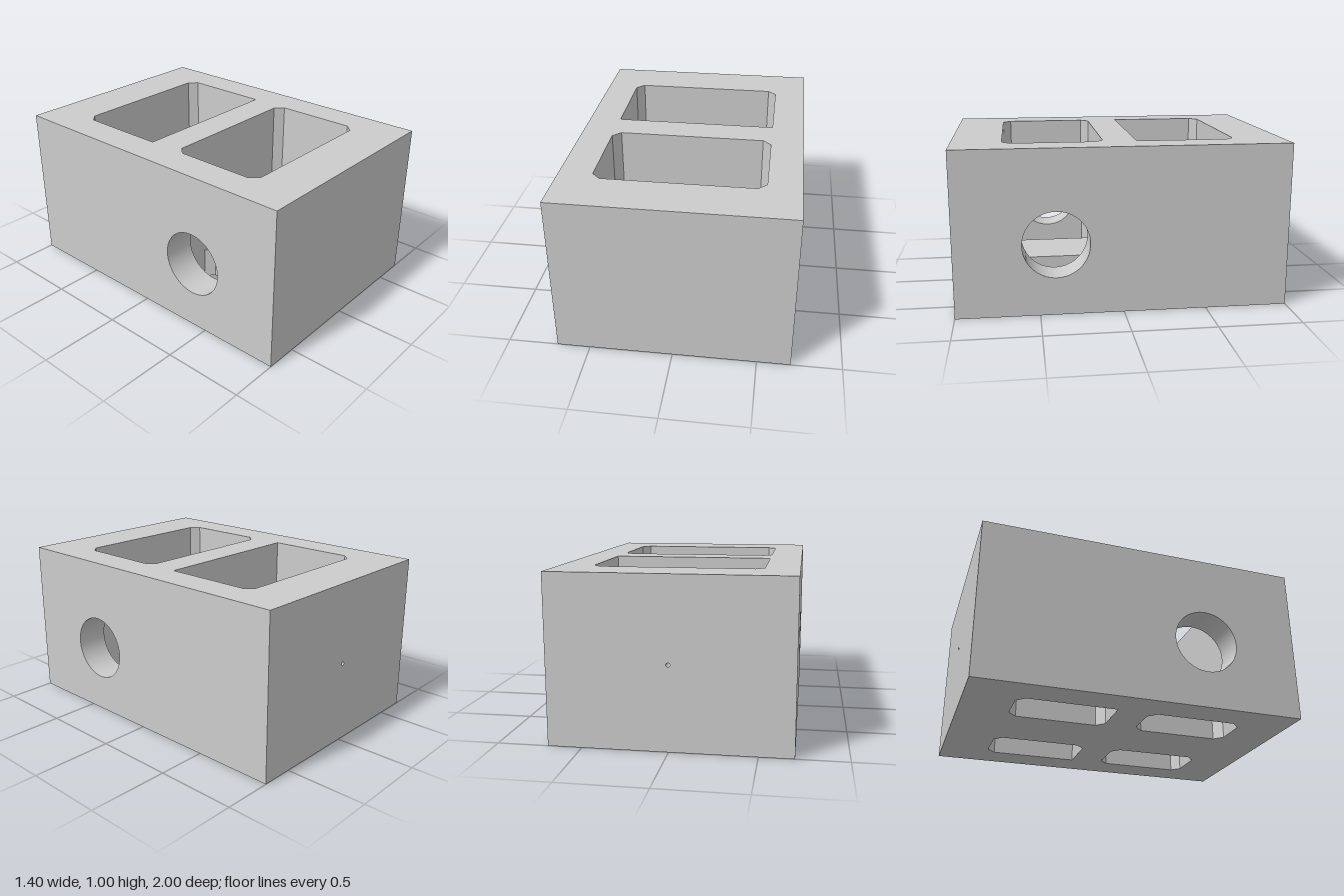
import * as THREE from 'three';

const W = 0.7, L = 1, H = 1;          // half width, half length, height
const FLOOR = 0.2, CUT = 0.05;        // floor thickness, corner chamfer
const BORE = { r: 0.2, y: 0.43, z: 0.4 };
const PIN = { r: 0.012, y: 0.5 };

const material = new THREE.MeshStandardMaterial({ color: 0xcccccc, side: THREE.DoubleSide });

// Rectangle in x, z with an optional chamfer per corner
function cutRect(x0, x1, z0, z1, [a, b, c, d]) {
  const points = [];
  const corner = (x, z, cut, first, second) => {
    if (!cut) points.push([x, z]);
    else points.push([x + first[0] * CUT, z + first[1] * CUT], [x + second[0] * CUT, z + second[1] * CUT]);
  };
  corner(x0, z0, a, [0, 1], [1, 0]);
  corner(x1, z0, b, [-1, 0], [0, 1]);
  corner(x1, z1, c, [0, -1], [-1, 0]);
  corner(x0, z1, d, [1, 0], [0, -1]);
  return points;
}

const toPath = (points, sign = 1) => new THREE.Path(points.map(([x, z]) => new THREE.Vector2(x, z * sign)));
const circle = (x, y, r) => new THREE.Path().absarc(x, y, r, 0, Math.PI * 2);
const rect = (x0, x1, y0, y1) => [[x0, y0], [x1, y0], [x1, y1], [x0, y1]];

export function createModel() {
  const block = new THREE.Group();
  block.name = 'hollowBlock';

  function add(name, geometry) {
    const mesh = new THREE.Mesh(geometry, material);
    mesh.name = name;
    block.add(mesh);
    return mesh;
  }

  // Flat face with holes, turned and placed
  function panel(name, points, holes, rotation, position) {
    const shape = new THREE.Shape(points.map(p => new THREE.Vector2(...p)));
    shape.holes.push(...holes);
    const mesh = add(name, new THREE.ShapeGeometry(shape, 32));
    mesh.rotation.set(...rotation);
    mesh.position.set(...position);
  }

  // Upright inward-facing walls along an outline; skip(p, q) leaves a side open
  function sleeve(name, points, y0, y1, skip = () => false) {
    const v = [];
    points.forEach((p, i) => {
      const q = points[(i + 1) % points.length];
      if (skip(p, q)) return;
      const a = [p[0], y0, p[1]], b = [q[0], y0, q[1]], c = [q[0], y1, q[1]], d = [p[0], y1, p[1]];
      v.push(...a, ...b, ...c, ...a, ...c, ...d);
    });
    const geometry = new THREE.BufferGeometry();
    geometry.setAttribute('position', new THREE.Float32BufferAttribute(v, 3));
    geometry.computeVertexNormals();
    add(name, geometry);
  }

  const backPocket = cutRect(-0.5, 0.5, -0.7, -0.1, [1, 1, 0, 0]);
  const frontPocket = cutRect(-0.5, 0.5, 0.1, 0.7, [1, 1, 1, 1]);
  const drains = [
    cutRect(-0.5, -0.21, -0.7, -0.1, [1, 1, 1, 0]),
    cutRect(0.19, 0.5, -0.7, -0.1, [1, 1, 0, 1]),
    cutRect(-0.5, -0.21, 0.1, 0.7, [1, 1, 1, 1]),
    cutRect(0.19, 0.5, 0.1, 0.7, [1, 1, 1, 1]),
  ];

  // Outer faces
  const plan = rect(-W, W, -L, L), end = rect(-W, W, 0, H), side = rect(-L, L, 0, H);
  panel('topFace', plan, [toPath(backPocket, -1), toPath(frontPocket, -1)], [-Math.PI / 2, 0, 0], [0, H, 0]);
  panel('bottomFace', plan, drains.map(d => toPath(d)), [Math.PI / 2, 0, 0], [0, 0, 0]);
  panel('frontFace', end, [], [0, 0, 0], [0, 0, L]);
  panel('backFace', end, [circle(0, PIN.y, PIN.r)], [0, Math.PI, 0], [0, 0, -L]);

  // Side faces, pierced pocket walls and the round bores between them
  for (const s of [-1, 1]) {
    panel('sideFace', side, [circle(-s * BORE.z, BORE.y, BORE.r)], [0, s * Math.PI / 2, 0], [s * W, 0, 0]);
    const u = [s * (0.1 + CUT), s * (0.7 - CUT)].sort((a, b) => a - b);
    panel('piercedPocketWall', rect(u[0], u[1], FLOOR, H), [circle(s * BORE.z, BORE.y, BORE.r)],
      [0, -s * Math.PI / 2, 0], [s * 0.5, 0, 0]);
    const bore = add('sideBore', new THREE.CylinderGeometry(BORE.r, BORE.r, W - 0.5, 64, 1, true));
    bore.rotation.z = Math.PI / 2;
    bore.position.set(s * 0.6, BORE.y, BORE.z);
  }

  // Pinhole through the back wall
  panel('backPocketWall', rect(-0.5 + CUT, 0.5 - CUT, FLOOR, H), [circle(0, PIN.y, PIN.r)], [0, 0, 0], [0, 0, -0.7]);
  const pinhole = add('pinhole', new THREE.CylinderGeometry(PIN.r, PIN.r, L - 0.7, 24, 1, true));
  pinhole.rotation.x = Math.PI / 2;
  pinhole.position.set(0, PIN.y, -0.85);

  // Remaining pocket walls and the floor openings
  sleeve('frontPocketWalls', frontPocket, FLOOR, H, (p, q) => p[0] === q[0]);
  sleeve('backPocketWalls', backPocket, FLOOR, H, (p, q) => p[1] === -0.7 && q[1] === -0.7);
  drains.forEach(d => sleeve('floorOpening', d, 0, FLOOR));

  // Floor strip between each pair of openings
  for (const [z0, z1] of [[-0.7, -0.1], [0.1, 0.7]]) {
    const l = -0.21, r = 0.19;
    const outline = [[l - CUT, z0], [r + CUT, z0], [r, z0 + CUT], [r, z1 - CUT],
      [r + CUT, z1], [l - CUT, z1], [l, z1 - CUT], [l, z0 + CUT]];
    panel('pocketFloor', outline.map(([x, z]) => [x, -z]), [], [-Math.PI / 2, 0, 0], [0, FLOOR, 0]);
  }

  return block;
}
